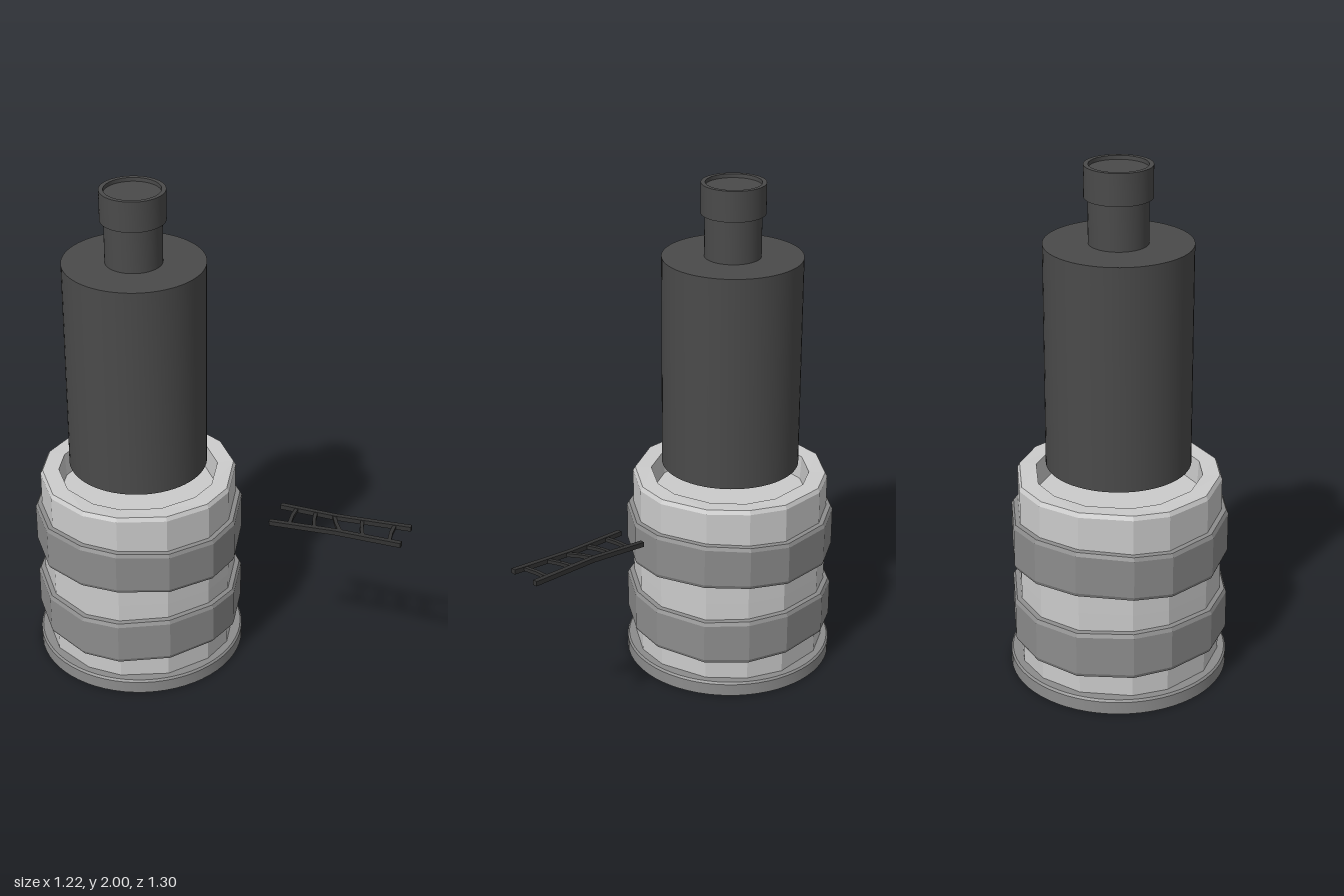
import * as THREE from 'three';
import { toCreasedNormals } from 'three/addons/utils/BufferGeometryUtils.js';

const SIDES = 14;
const points = (list) => list.map(([r, y]) => new THREE.Vector2(r, y));
const material = (color, flatShading = false) =>
  new THREE.MeshStandardMaterial({ color, flatShading });

// Smooth turned part
function turned(name, profile, mat) {
  const geo = toCreasedNormals(new THREE.LatheGeometry(points(profile), 64), 0.6);
  const mesh = new THREE.Mesh(geo, mat);
  mesh.name = name;
  return mesh;
}

// Rough-hewn faceted ring: uneven facet widths and wavy edges
function hewn(name, profile, mat, wave, phase) {
  const geo = new THREE.LatheGeometry(points(profile), SIDES);
  const pos = geo.attributes.position;
  for (let i = 0; i < pos.count; i++) {
    const side = Math.floor(i / profile.length) % SIDES;
    const [r, y] = profile[i % profile.length];
    const angle = (side / SIDES) * Math.PI * 2 - 0.14 + 0.05 * Math.sin(side * 2.3);
    const lift = r > 0.33 ? wave * Math.sin(side * 1.35 + phase + y * 3) : 0;
    pos.setXYZ(i, r * Math.sin(angle), y + lift, r * Math.cos(angle));
  }
  const mesh = new THREE.Mesh(geo, mat);
  mesh.name = name;
  return mesh;
}

// Square beam between two points
function beam(name, a, b, size, mat) {
  const mesh = new THREE.Mesh(new THREE.BoxGeometry(size, size, a.distanceTo(b)), mat);
  mesh.position.copy(a).add(b).multiplyScalar(0.5);
  mesh.lookAt(b);
  mesh.name = name;
  return mesh;
}

export function createModel() {
  const model = new THREE.Group();
  const stone = material(0xcccccc, true);
  const bandMat = material(0x8c8c8c, true);
  const baseMat = material(0x8c8c8c);
  const dark = material(0x4a4a4a);
  const ladderMat = material(0x333333, true);

  const tower = new THREE.Group();
  tower.name = 'tower';
  tower.position.set(-0.19, 0, -0.23);
  model.add(tower);

  // Round base plate
  tower.add(turned('basePlate', [
    [0, 0], [0.42, 0], [0.42, 0.05], [0.413, 0.058], [0, 0.058],
  ], baseMat));

  // Faceted barrel with a sunken top
  tower.add(hewn('barrel', [
    [0.388, 0.04], [0.392, 0.4], [0.392, 0.79], [0.383, 0.806],
    [0.318, 0.806], [0.312, 0.71], [0, 0.71],
  ], stone, 0.004, 0.5));

  // Two wavy bands
  [0.15, 0.475].forEach((y, i) => {
    tower.add(hewn('band', [
      [0.375, y], [0.412, y], [0.418, y + 0.014], [0.418, y + 0.166],
      [0.41, y + 0.18], [0.375, y + 0.184],
    ], bandMat, 0.008, i * 1.7));
  });

  // Floating column with neck and rimmed cap
  tower.add(turned('column', [
    [0, 0.85], [0.274, 0.85], [0.274, 1.71], [0.11, 1.71], [0.11, 1.88],
    [0.125, 1.88], [0.125, 2], [0.108, 2], [0.108, 1.985], [0, 1.985],
  ], dark));

  // Ladder: two slightly bent rails with uneven rungs
  const ladder = new THREE.Group();
  ladder.name = 'ladder';
  model.add(ladder);
  const rail = (x0, z0, bx, bz, x1, z1) => {
    const ends = [
      new THREE.Vector3(x0, 0.718, z0),
      new THREE.Vector3(bx, 0.737, bz),
      new THREE.Vector3(x1, 0.757, z1),
    ];
    for (let i = 0; i < 2; i++) ladder.add(beam('rail', ends[i], ends[i + 1], 0.019, ladderMat));
    return (t) => (t < 0.5
      ? ends[0].clone().lerp(ends[1], t * 2)
      : ends[1].clone().lerp(ends[2], t * 2 - 1));
  };
  const outer = rail(0.256, 0.152, 0.4, 0.345, 0.601, 0.562);
  const inner = rail(0.16, 0.234, 0.342, 0.43, 0.507, 0.64);
  const rungs = [[0.15, 0.14], [0.34, 0.31], [0.54, 0.47], [0.71, 0.67], [0.91, 0.89]];
  for (const [a, b] of rungs) {
    const start = inner(a), end = outer(b);
    const mid = start.clone().lerp(end, 0.5).add(new THREE.Vector3(-0.003, 0, -0.003));
    ladder.add(beam('rung', start, mid, 0.014, ladderMat));
    ladder.add(beam('rung', mid, end, 0.014, ladderMat));
  }
  return model;
}
